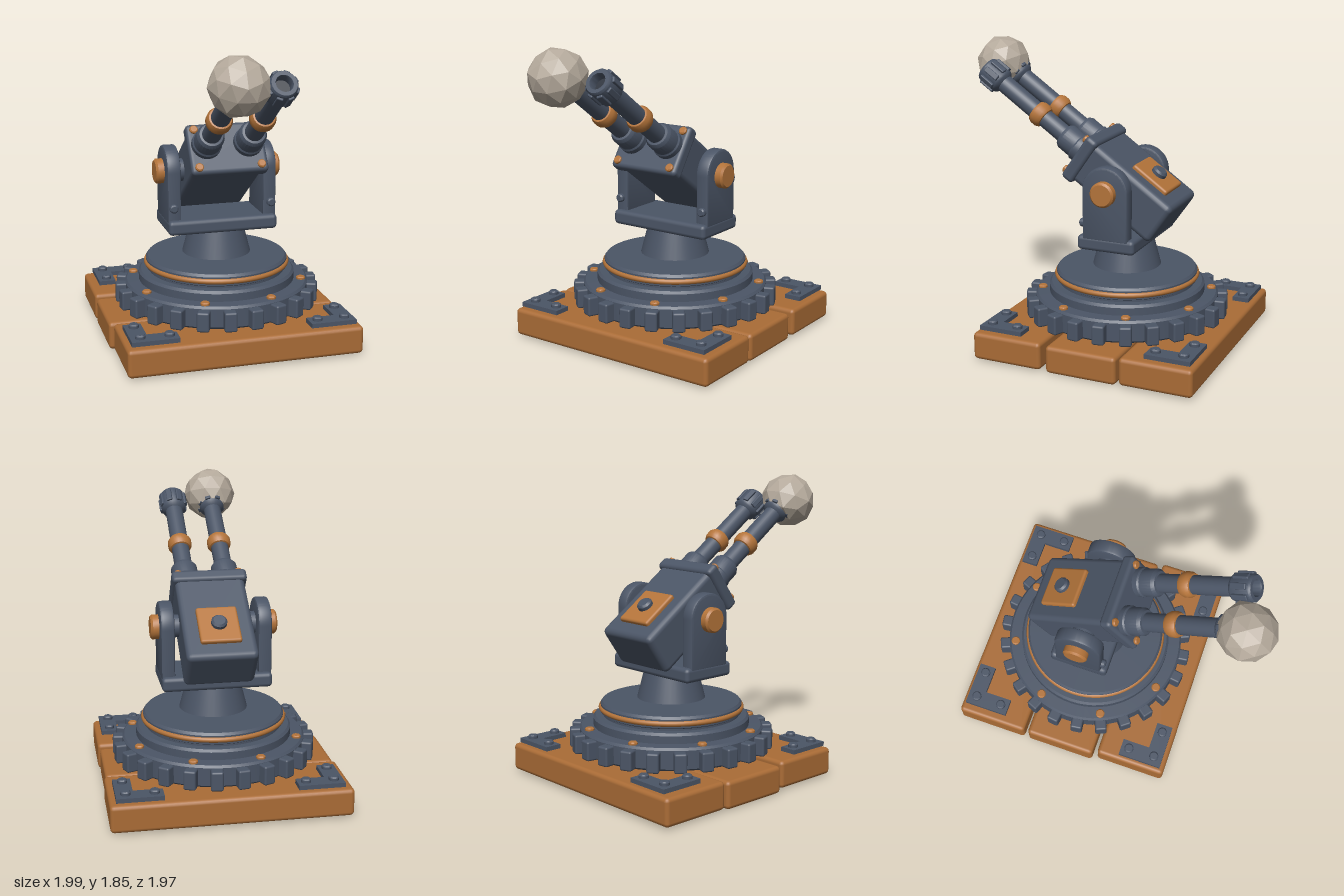
import * as THREE from 'three';
import { toCreasedNormals } from 'three/addons/utils/BufferGeometryUtils.js';
import { RoundedBoxGeometry } from 'three/addons/geometries/RoundedBoxGeometry.js';

const mat = (name, color) => Object.assign(new THREE.MeshStandardMaterial({ color }), { name });

export function createModel() {
  const steel = mat('blue grey steel', 0x4b5566);
  const wood = mat('wood', 0xaa6c36);
  const copper = mat('copper', 0xb4743a);
  const bore = mat('dark bore', 0x2c323c);
  const stone = mat('pale stone', 0xb5aa9c);
  stone.flatShading = true;

  const add = (parent, name, geo, material, x = 0, y = 0, z = 0) => {
    const m = new THREE.Mesh(geo, material);
    m.name = name;
    m.position.set(x, y, z);
    parent.add(m);
    return m;
  };
  const box = (w, h, d, r = 0.02) => new RoundedBoxGeometry(w, h, d, 2, r);
  const lathe = (pts, seg = 48) => toCreasedNormals(
    new THREE.LatheGeometry(pts.map(p => new THREE.Vector2(p[0], p[1])), seg), 0.6);
  // closed cylinder with a softened top edge, standing on y = 0
  const stud = (r, h, c = Math.min(r, h) * 0.3, seg = 20) => lathe(
    [[0, 0], [r, 0], [r, h - c], [r - c, h], [0, h]], seg);

  const model = new THREE.Group();
  model.name = 'turret';
  const root = new THREE.Group();
  root.name = 'turnedAssembly';
  root.rotation.y = THREE.MathUtils.degToRad(40);
  model.add(root);

  // three slightly uneven base planks: centre x, centre y, centre z, width
  [[-0.008, 0.1, -0.476, 1.445], [-0.012, 0.087, 0, 1.43], [0.004, 0.099, 0.481, 1.42]]
    .forEach(([x, y, z, w]) => add(root, 'plank', box(w, 0.17, 0.452, 0.025), wood, x, y, z));

  // L-shaped corner brackets with three bolts each
  const ell = new THREE.Shape();
  [[0, 0], [0.28, 0], [0.28, 0.105], [0.105, 0.105], [0.105, 0.28], [0, 0.28]]
    .forEach(([x, y], i) => (i ? ell.lineTo(x, y) : ell.moveTo(x, y)));
  const ellGeo = new THREE.ExtrudeGeometry(ell, { depth: 0.027, bevelEnabled: false });
  ellGeo.rotateX(-Math.PI / 2);
  for (let i = 0; i < 4; i++) {
    const corner = new THREE.Group();
    corner.name = 'cornerBracket';
    corner.rotation.y = i * Math.PI / 2;
    root.add(corner);
    add(corner, 'bracketPlate', ellGeo, steel, -0.676, 0.195, 0.676);
    [[0.058, 0.058], [0.228, 0.055], [0.055, 0.228]].forEach(([a, b]) =>
      add(corner, 'bracketBolt', stud(0.03, 0.025), steel, -0.676 + a, 0.221, 0.676 - b));
  }

  // toothed base ring, upper tier and turntable disc
  add(root, 'gearRing', lathe([[0, 0.198], [0.56, 0.198], [0.572, 0.21], [0.572, 0.322], [0.56, 0.336],
    [0.486, 0.338], [0.486, 0.385], [0.472, 0.4], [0, 0.4]], 64), steel);
  add(root, 'turntable', lathe([[0, 0.4], [0.425, 0.4], [0.425, 0.412], [0.44, 0.42], [0.44, 0.472],
    [0.428, 0.487], [0, 0.487]], 64), steel);
  const ring = add(root, 'turntableBand', new THREE.TorusGeometry(0.436, 0.017, 10, 64), copper, 0, 0.446);
  ring.rotation.x = Math.PI / 2;
  for (let i = 0; i < 24; i++) {
    const a = (i + 0.5) * Math.PI / 12;
    const tooth = add(root, 'gearTooth', box(0.075, 0.12, 0.09, 0.012), steel,
      Math.sin(a) * 0.588, 0.26, Math.cos(a) * 0.588);
    tooth.rotation.y = a;
  }
  for (let i = 0; i < 8; i++) {
    const a = (i + 0.5) * Math.PI / 4;
    add(root, 'gearBolt', stud(0.028, 0.02), copper, Math.sin(a) * 0.53, 0.333, Math.cos(a) * 0.53);
  }

  // neck and yoke
  add(root, 'neck', new THREE.CylinderGeometry(0.168, 0.212, 0.17, 40), steel, 0, 0.59, 0);
  add(root, 'yokeBase', box(0.68, 0.09, 0.37, 0.025), steel, 0, 0.713, 0);
  const arm = new THREE.Shape();
  arm.moveTo(-0.132, 0.75);
  arm.lineTo(0.132, 0.75);
  arm.lineTo(0.132, 1.045);
  arm.absarc(0, 1.045, 0.132, 0, Math.PI, false);
  const armGeo = toCreasedNormals(new THREE.ExtrudeGeometry(arm, {
    depth: 0.055, bevelThickness: 0.015, bevelSize: 0.015, bevelSegments: 2, curveSegments: 24,
  }), 0.6);
  armGeo.translate(0, 0, -0.0275).rotateY(-Math.PI / 2);
  for (const s of [-1, 1]) {
    add(root, 'yokeArm', armGeo, steel, s * 0.298);
    const cap = add(root, 'pivotCap', stud(0.076, 0.055, 0.012, 32), copper, s * 0.335, 1.035, 0);
    cap.rotation.z = -s * Math.PI / 2;
    const bolt = add(root, 'yokeBolt', stud(0.026, 0.03), steel, s * 0.305, 0.833, 0.143);
    bolt.rotation.x = Math.PI / 2;
  }
  const axle = add(root, 'axle', new THREE.CylinderGeometry(0.07, 0.07, 0.56, 24), steel, 0, 1.035, 0);
  axle.rotation.z = Math.PI / 2;

  // elevating gun: local z runs along the barrels
  const gun = new THREE.Group();
  gun.name = 'gun';
  gun.position.y = 1.04;
  gun.rotation.x = -THREE.MathUtils.degToRad(35);
  root.add(gun);
  add(gun, 'housing', box(0.435, 0.28, 0.65, 0.035), steel, 0, 0, -0.045);
  add(gun, 'frontFlange', box(0.47, 0.32, 0.085, 0.025), steel, 0, 0, 0.265);
  add(gun, 'topPlate', box(0.25, 0.04, 0.265, 0.015), copper, 0, 0.147, -0.137);
  add(gun, 'topKnob', stud(0.048, 0.035, 0.012), steel, 0, 0.165, -0.137);
  for (const x of [-0.19, 0.19]) for (const y of [-0.12, 0.12]) {
    add(gun, 'flangeBolt', stud(0.025, 0.022), copper, x, y, 0.302).rotation.x = Math.PI / 2;
  }

  // twin barrels
  const along = (pts, seg = 28) => lathe(pts, seg).rotateX(Math.PI / 2);
  const barrelGeo = along([[0, 0.3], [0.09, 0.3], [0.09, 0.34], [0.083, 0.35], [0.083, 0.435], [0.07, 0.455],
    [0.056, 0.457], [0.056, 0.95], [0.074, 0.963], [0.08, 0.975], [0.08, 1.09], [0.072, 1.102], [0.05, 1.102],
    [0.046, 1.09], [0.046, 1.04]]);
  const bandGeo = along([[0.055, 0.61], [0.066, 0.613], [0.076, 0.633], [0.076, 0.668], [0.066, 0.688], [0.055, 0.69]]);
  for (const s of [-1, 1]) {
    const barrel = new THREE.Group();
    barrel.name = 'barrel';
    barrel.position.set(s * 0.128, 0.02, 0);
    gun.add(barrel);
    add(barrel, 'barrelTube', barrelGeo, steel);
    add(barrel, 'barrelBand', bandGeo, copper);
    add(barrel, 'boreFloor', new THREE.CircleGeometry(0.047, 24), bore, 0, 0, 1.045);
    for (let i = 0; i < 8; i++) {
      const a = (i + 0.5) * Math.PI / 4;
      const rib = add(barrel, 'muzzleRib', box(0.022, 0.036, 0.1, 0.006), steel,
        Math.cos(a) * 0.081, Math.sin(a) * 0.081, 1.03);
      rib.rotation.z = a;
    }
  }

  // rough stone ball stuck on one muzzle, shaped by a smooth bump rule
  const ball = new THREE.IcosahedronGeometry(0.168, 1);
  const p = ball.attributes.position;
  const v = new THREE.Vector3();
  for (let i = 0; i < p.count; i++) {
    v.fromBufferAttribute(p, i);
    v.multiplyScalar(1 + 0.05 * Math.sin(v.x * 31 + 1) * Math.cos(v.y * 27 - v.z * 19));
    p.setXYZ(i, v.x, v.y, v.z);
  }
  ball.computeVertexNormals();
  add(gun, 'stoneBall', ball, stone, -0.13, 0.005, 1.12);

  return model;
}
